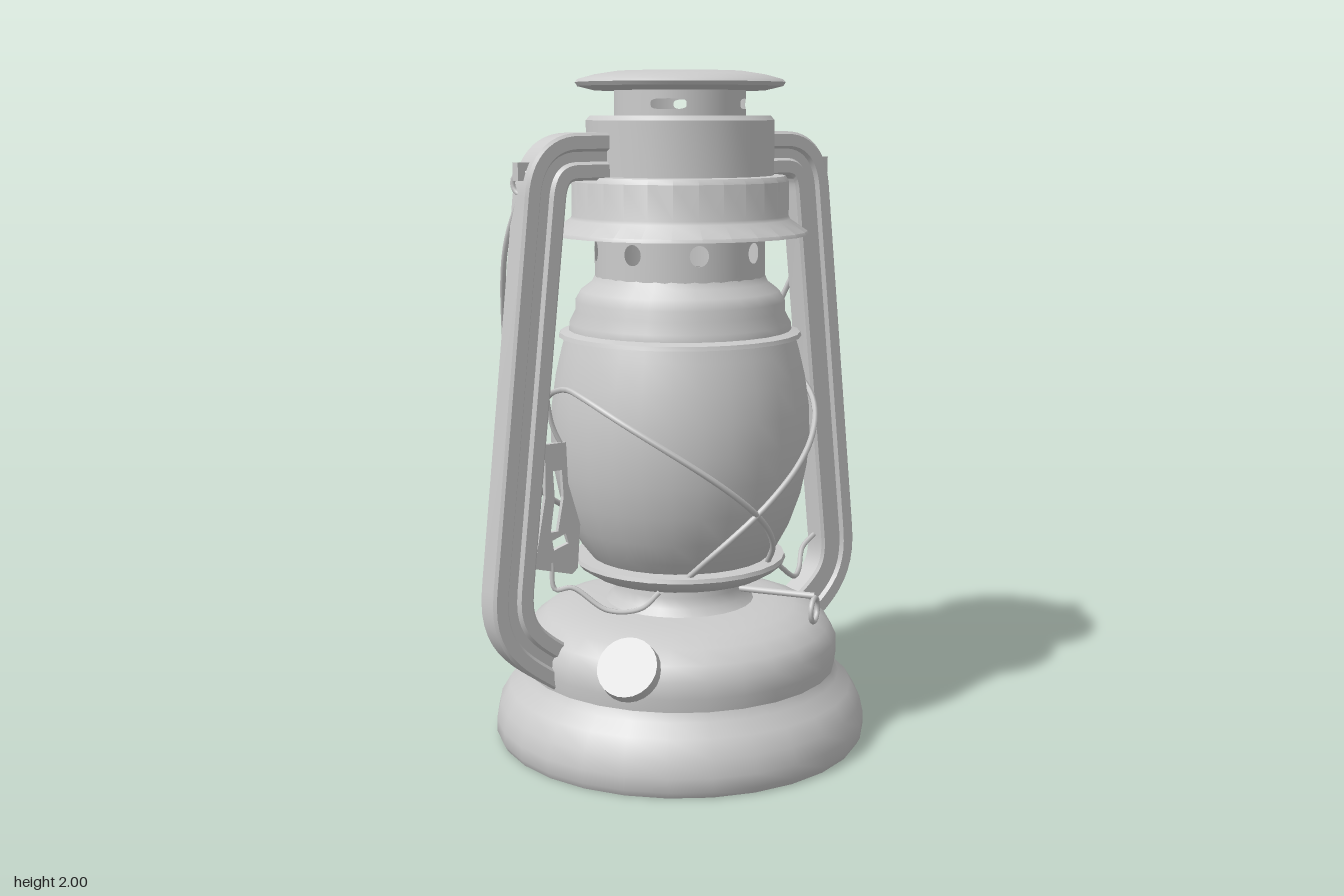
import * as THREE from 'three';
import { toCreasedNormals } from 'three/addons/utils/BufferGeometryUtils.js';
import { ParametricGeometry } from 'three/addons/geometries/ParametricGeometry.js';

const metal = new THREE.MeshStandardMaterial({ color: 0xcccccc, side: THREE.DoubleSide });
const V = (x, y, z) => new THREE.Vector3(x, y, z);

function part(parent, name, geometry, position) {
  const mesh = new THREE.Mesh(geometry, metal);
  mesh.name = name;
  if (position) mesh.position.copy(position);
  parent.add(mesh);
  return mesh;
}

// Turned part from [radius, height] pairs, bottom to top
function turned(parent, name, profile) {
  const points = profile.map(([r, y]) => new THREE.Vector2(r, y));
  return part(parent, name, toCreasedNormals(new THREE.LatheGeometry(points, 28), 0.6));
}

// Round wire through points
function wire(parent, name, points, radius = 0.008, segments = 48) {
  const curve = new THREE.CatmullRomCurve3(points);
  return part(parent, name, new THREE.TubeGeometry(curve, segments, radius, 6));
}

// Cylinder wall made of equal panels, each with one rounded hole
function piercedCollar(parent, name, radius, y0, y1, count, holeY, holeW, holeH, power) {
  const group = new THREE.Group();
  group.name = name;
  const half = Math.PI / count;
  const soft = (c) => Math.sign(c) * Math.abs(c) ** power;
  for (let i = 0; i < count; i++) {
    const middle = (2 * i + 1) * half;
    const panel = new ParametricGeometry((u, v, target) => {
      const c = Math.cos(u * Math.PI * 2), s = Math.sin(u * Math.PI * 2);
      const m = Math.max(Math.abs(c), Math.abs(s));
      const edgeY = (y0 + y1) / 2 + (s / m) * (y1 - y0) / 2;
      const a = middle + THREE.MathUtils.lerp(soft(c) * holeW / radius, (c / m) * half, v);
      const y = THREE.MathUtils.lerp(holeY + soft(s) * holeH, edgeY, v);
      target.set(Math.sin(a) * radius, y, Math.cos(a) * radius);
    }, 32, 4);
    part(group, name + 'Panel', panel);
  }
  parent.add(group);
}

// Flat grooved band swept along a path in the xy plane
function sideFrame() {
  const P = (x, y) => new THREE.Vector2(x, y);
  const path = new THREE.CurvePath();
  path.add(new THREE.LineCurve(P(0.25, 1.76), P(0.37, 1.76)));
  path.add(new THREE.QuadraticBezierCurve(P(0.37, 1.76), P(0.465, 1.76), P(0.477, 1.65)));
  path.add(new THREE.LineCurve(P(0.477, 1.65), P(0.6, 0.54)));
  path.add(new THREE.CubicBezierCurve(P(0.6, 0.54), P(0.614, 0.4), P(0.55, 0.36), P(0.42, 0.27)));
  const centre = path.curves.flatMap((c, i) =>
    (i % 2 ? c.getPoints(12).map((p, j) => [p, c.getTangent(j / 12)]) : []));
  centre.unshift([P(0.25, 1.76), P(1, 0)]);
  // Half section: across the band, then depth; mirrored for the back
  const front = [[-0.066, 0.034], [-0.058, 0.042], [-0.022, 0.042], [-0.014, 0.03],
    [0.014, 0.03], [0.022, 0.042], [0.058, 0.042], [0.066, 0.034]];
  const section = [...front, ...front.map(([s, z]) => [s, -z]).reverse()];
  const n = section.length, positions = [], index = [];
  centre.forEach(([p, t], i) => {
    section.forEach(([s, z], j) => {
      positions.push(p.x - t.y * s, p.y + t.x * s, z);
      if (i === 0) return;
      const a = (i - 1) * n + j, b = (i - 1) * n + (j + 1) % n;
      index.push(a, a + n, b, b, a + n, b + n);
    });
  });
  const geometry = new THREE.BufferGeometry();
  geometry.setAttribute('position', new THREE.Float32BufferAttribute(positions, 3));
  geometry.setIndex(index);
  return toCreasedNormals(geometry, 0.5);
}

export function createModel() {
  const lantern = new THREE.Group();
  lantern.name = 'lantern';

  // Fuel tank and burner
  turned(lantern, 'fuelTank', [[0, 0], [0.555, 0], [0.566, 0.02], [0.566, 0.06], [0.555, 0.11],
    [0.525, 0.16], [0.488, 0.195], [0.475, 0.22], [0.48, 0.26], [0.478, 0.31], [0.455, 0.35],
    [0.41, 0.385], [0.35, 0.405], [0.29, 0.415], [0.225, 0.42]]);
  turned(lantern, 'burnerNeck', [[0.23, 0.415], [0.205, 0.44], [0.195, 0.47], [0.195, 0.52]]);
  turned(lantern, 'globePlate', [[0.19, 0.505], [0.27, 0.51], [0.31, 0.535], [0.322, 0.55],
    [0.318, 0.562], [0.27, 0.565], [0.25, 0.55]]);

  // Glass globe
  const globe = [[0.265, 0.555], [0.3, 0.6], [0.335, 0.665], [0.365, 0.75], [0.383, 0.84],
    [0.39, 0.93], [0.387, 1.02], [0.374, 1.11], [0.355, 1.19], [0.34, 1.24]];
  turned(lantern, 'globe', globe);

  // Globe cap, vent collar, chimney and lid
  turned(lantern, 'globeCap', [[0.33, 1.23], [0.362, 1.23], [0.358, 1.242], [0.332, 1.25],
    [0.33, 1.27], [0.312, 1.305], [0.312, 1.335], [0.295, 1.365], [0.262, 1.39], [0.252, 1.41]]);
  piercedCollar(lantern, 'ventCollar', 0.252, 1.405, 1.56, 8, 1.483, 0.028, 0.03, 1);
  turned(lantern, 'chimney', [[0.25, 1.55], [0.38, 1.53], [0.376, 1.54], [0.325, 1.575],
    [0.32, 1.585], [0.32, 1.685], [0.31, 1.7], [0.276, 1.702], [0.276, 1.86], [0.265, 1.873],
    [0.19, 1.873]]);
  piercedCollar(lantern, 'draftCollar', 0.192, 1.87, 1.95, 4, 1.906, 0.052, 0.015, 0.55);
  turned(lantern, 'lid', [[0.19, 1.945], [0.25, 1.945], [0.3, 1.957], [0.307, 1.968],
    [0.298, 1.977], [0.25, 1.99], [0.185, 2], [0, 2]]);

  // Filler cap on the tank shoulder
  const filler = new THREE.Group();
  filler.name = 'fillerCap';
  filler.position.set(-0.365, 0.33, 0.275);
  filler.quaternion.setFromUnitVectors(V(0, 1, 0), V(-0.64, 0.6, 0.48).normalize());
  part(filler, 'fillerNeck', new THREE.CylinderGeometry(0.065, 0.07, 0.1, 20), V(0, -0.05, 0));
  part(filler, 'fillerLid', new THREE.CylinderGeometry(0.088, 0.09, 0.04, 24), V(0, 0.015, 0));
  lantern.add(filler);

  // Side frames, ears and crossing globe guards
  const globeRadius = (y) => {
    const i = Math.max(1, globe.findIndex((p) => p[1] >= y));
    const [r0, y0] = globe[i - 1], [r1, y1] = globe[i];
    return r0 + (r1 - r0) * (y - y0) / (y1 - y0);
  };
  const frame = sideFrame();
  for (const side of [1, -1]) {
    const label = side > 0 ? 'left' : 'right';
    part(lantern, label + 'Frame', frame).rotation.y = side > 0 ? 0 : Math.PI;
    part(lantern, label + 'EarLug', new THREE.BoxGeometry(0.055, 0.05, 0.03), V(side * 0.525, 1.722, 0));
    const ring = part(lantern, label + 'EarRing', new THREE.TorusGeometry(0.032, 0.008, 6, 20), V(side * 0.53, 1.69, 0));
    ring.rotation.y = Math.PI / 2 - side * 0.5;
    const guard = [];
    for (let i = -12; i <= 12; i++) {
      const t = Math.abs(i) / 12, a = i / 12 * 2.1;
      const y = 1.1 - 0.54 * t ** 1.5, r = globeRadius(y) + 0.018;
      guard.push(V(side * r * Math.cos(a), y, r * Math.sin(a)));
    }
    wire(lantern, label + 'GlobeGuard', guard, 0.009, 72);
  }

  // Carrying bail hanging behind the globe
  const bail = [V(0.53, 1.68, 0), V(0.55, 1.5, -0.07), V(0.46, 1.1, -0.23),
    V(0.4, 0.88, -0.3), V(0.24, 0.69, -0.36)];
  wire(lantern, 'carryingBail', [...bail, V(0, 0.6, -0.385),
    ...bail.map((p) => V(-p.x, p.y, p.z)).reverse()], 0.009, 90);

  // Wick adjuster: shaft and finger loop
  wire(lantern, 'wickShaft', [V(0.1, 0.465, 0.15), V(0.24, 0.465, 0.355)], 0.01, 2);
  part(lantern, 'wickLoop', new THREE.TorusGeometry(0.036, 0.008, 6, 24), V(0.24, 0.422, 0.355))
    .rotation.y = 0.6;

  // Globe lifter: slotted plate with its link wires
  const plate = new THREE.Shape([[-0.475, 0.95], [-0.405, 0.95], [-0.4, 0.83], [-0.36, 0.7],
    [-0.37, 0.57], [-0.39, 0.555], [-0.515, 0.59], [-0.475, 0.8]].map((p) => new THREE.Vector2(...p)));
  const slot = (points) => plate.holes.push(new THREE.Path(points.map((p) => new THREE.Vector2(...p))));
  slot([[-0.45, 0.87], [-0.42, 0.87], [-0.415, 0.79], [-0.435, 0.69], [-0.46, 0.69], [-0.445, 0.79]]);
  slot([[-0.455, 0.665], [-0.41, 0.68], [-0.4, 0.65], [-0.45, 0.635]]);
  part(lantern, 'lifterPlate', new THREE.ExtrudeGeometry(plate, { depth: 0.014, bevelEnabled: false }), V(0, 0, -0.007));
  wire(lantern, 'lifterRod', [V(-0.41, 0.93, 0), V(-0.44, 1.0, -0.01), V(-0.46, 1.1, -0.01)], 0.007, 12);
  wire(lantern, 'lifterLink', [V(-0.455, 0.6, 0), V(-0.45, 0.52, 0.01), V(-0.41, 0.525, 0.04),
    V(-0.34, 0.465, 0.12), V(-0.27, 0.475, 0.19), V(-0.22, 0.52, 0.21)]);
  wire(lantern, 'plateLink', [V(0.53, 0.535, 0), V(0.46, 0.51, 0.03), V(0.38, 0.47, 0.11),
    V(0.29, 0.48, 0.19), V(0.22, 0.53, 0.21)]);

  return lantern;
}
